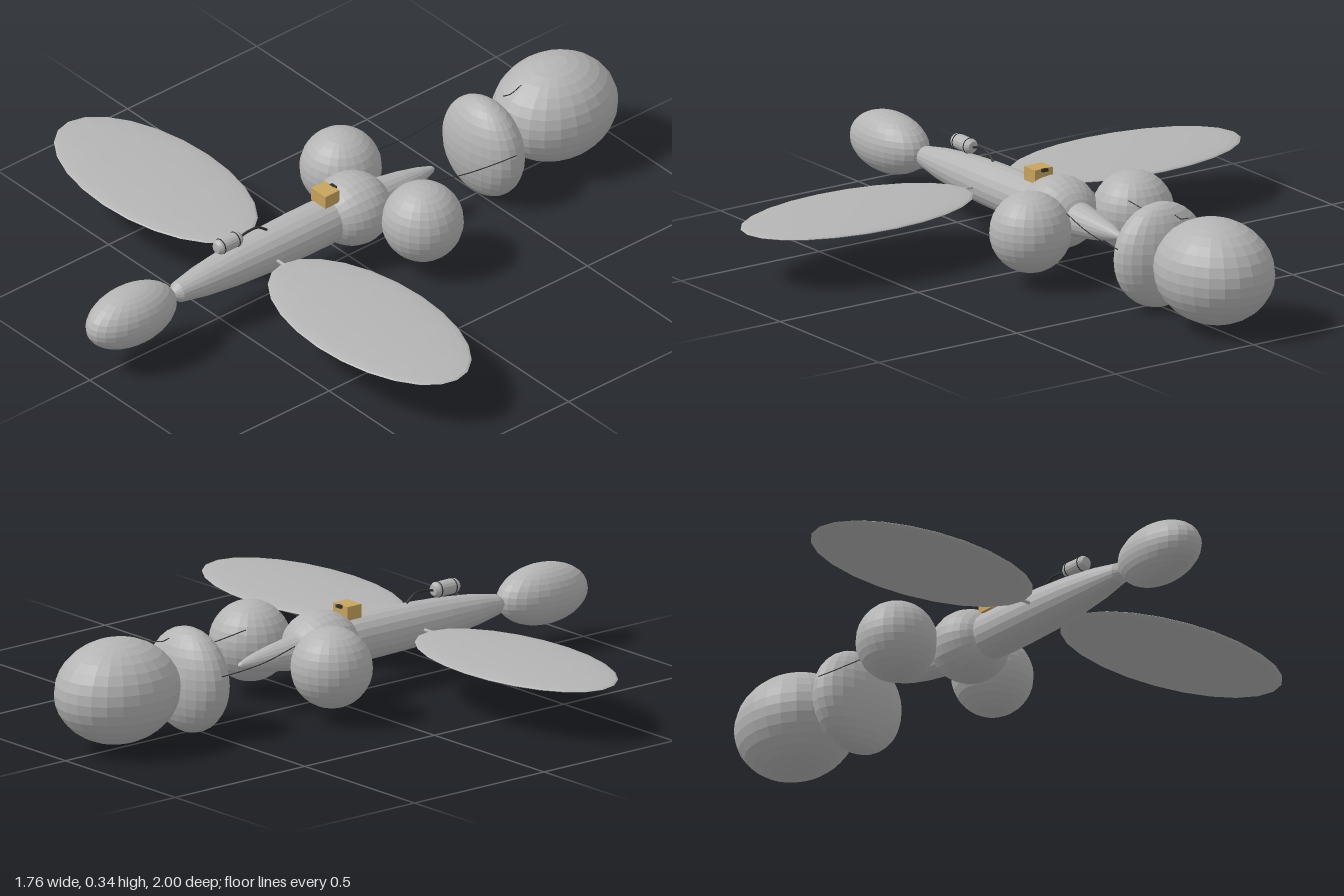
import * as THREE from 'three';

const AXIS_Y = 0.163; // common height of the aircraft's centreline

export function createModel() {
  const model = new THREE.Group();
  model.name = 'balloonAircraft';
  const material = (name, color, flat = false) => {
    const m = new THREE.MeshStandardMaterial({ color, flatShading: flat });
    m.name = name;
    return m;
  };
  const grey = material('paleGrey', 0xb4b4b4, true);
  const dark = material('darkCable', 0x303030);
  const gold = material('tan', 0xc8a45c);

  function add(name, geometry, mat, x = 0, y = 0, z = 0, parent = model) {
    const mesh = new THREE.Mesh(geometry, mat);
    mesh.name = name;
    mesh.position.set(x, y, z);
    parent.add(mesh);
    return mesh;
  }
  const ellipsoid = (name, pos, rx, ry, rz) =>
    add(name, new THREE.SphereGeometry(1, 24, 16).scale(rx, ry, rz), grey, ...pos);
  const cable = (name, points, radius) => add(name, new THREE.TubeGeometry(
    new THREE.CatmullRomCurve3(points.map(p => new THREE.Vector3(...p))), 16, radius, 6), dark);

  // Spindle body, turned about the z axis
  const profile = [
    [0, -0.335], [0.01, -0.325], [0.024, -0.28], [0.039, -0.21], [0.054, -0.11], [0.066, 0],
    [0.071, 0.1], [0.071, 0.2], [0.068, 0.33], [0.061, 0.45], [0.048, 0.57], [0.032, 0.66], [0, 0.7],
  ].map(([r, z]) => new THREE.Vector2(r, z));
  add('fuselage', new THREE.LatheGeometry(profile, 20).rotateX(Math.PI / 2), grey, 0, AXIS_Y, 0);

  // Nose, hub and the two rear bulbs
  ellipsoid('nose', [0, AXIS_Y, 0.84], 0.09, 0.092, 0.16);
  const hub = ellipsoid('hub', [0, AXIS_Y, -0.015], 0.118, 0.118, 0.11);
  hub.geometry.rotateX(Math.PI / 2);
  ellipsoid('rearDisc', [0, 0.16, -0.525], 0.156, 0.16, 0.09);
  ellipsoid('rearBulb', [0, 0.178, -0.8], 0.17, 0.158, 0.2);

  // Paired side spheres, wings, wing roots and tow lines
  for (const [side, s] of [['left', 1], ['right', -1]]) {
    ellipsoid(side + 'Sphere', [s * 0.186, AXIS_Y, -0.13], 0.122, 0.122, 0.122);
    ellipsoid(side + 'Wing', [s * 0.485, AXIS_Y, 0.33], 0.397, 0.016, 0.203);
    add(side + 'WingRoot', new THREE.CylinderGeometry(0.005, 0.005, 0.08, 8).rotateZ(Math.PI / 2),
      grey, s * 0.08, AXIS_Y, 0.33);
    cable(side + 'TowLine', [
      [s * 0.112, 0.225, -0.21], [s * 0.127, 0.205, -0.33], [s * 0.14, 0.2, -0.43], [s * 0.15, 0.2, -0.525],
    ], 0.0015);
  }
  // Loose line above the rear bulb
  cable('rearLine', [[0, 0.3, -0.6], [0, 0.295, -0.63], [0, 0.308, -0.67]], 0.0015);

  // Equipment box with a small dark fitting
  add('equipmentBox', new THREE.BoxGeometry(0.065, 0.042, 0.055), gold, 0, 0.255, 0.088);
  add('boxFitting', new THREE.BoxGeometry(0.022, 0.008, 0.012), dark, 0, 0.272, 0.058);

  // Canister lying along the body, with bands and a curved hose
  const canister = new THREE.Group();
  canister.name = 'canister';
  canister.position.set(0, 0.252, 0.465);
  model.add(canister);
  const can = [[0, -0.048], [0.016, -0.046], [0.023, -0.036], [0.023, 0.036], [0.016, 0.046], [0, 0.048]]
    .map(([r, z]) => new THREE.Vector2(r, z));
  add('canisterBody', new THREE.LatheGeometry(can, 16).rotateX(Math.PI / 2), grey, 0, 0, 0, canister);
  for (const z of [-0.028, 0.028])
    add('canisterBand', new THREE.TorusGeometry(0.023, 0.002, 6, 16), dark, 0, 0, z, canister);
  cable('hose', [[0, 0.252, 0.42], [0, 0.258, 0.385], [0, 0.256, 0.35], [0, 0.232, 0.315]], 0.004);

  return model;
}
